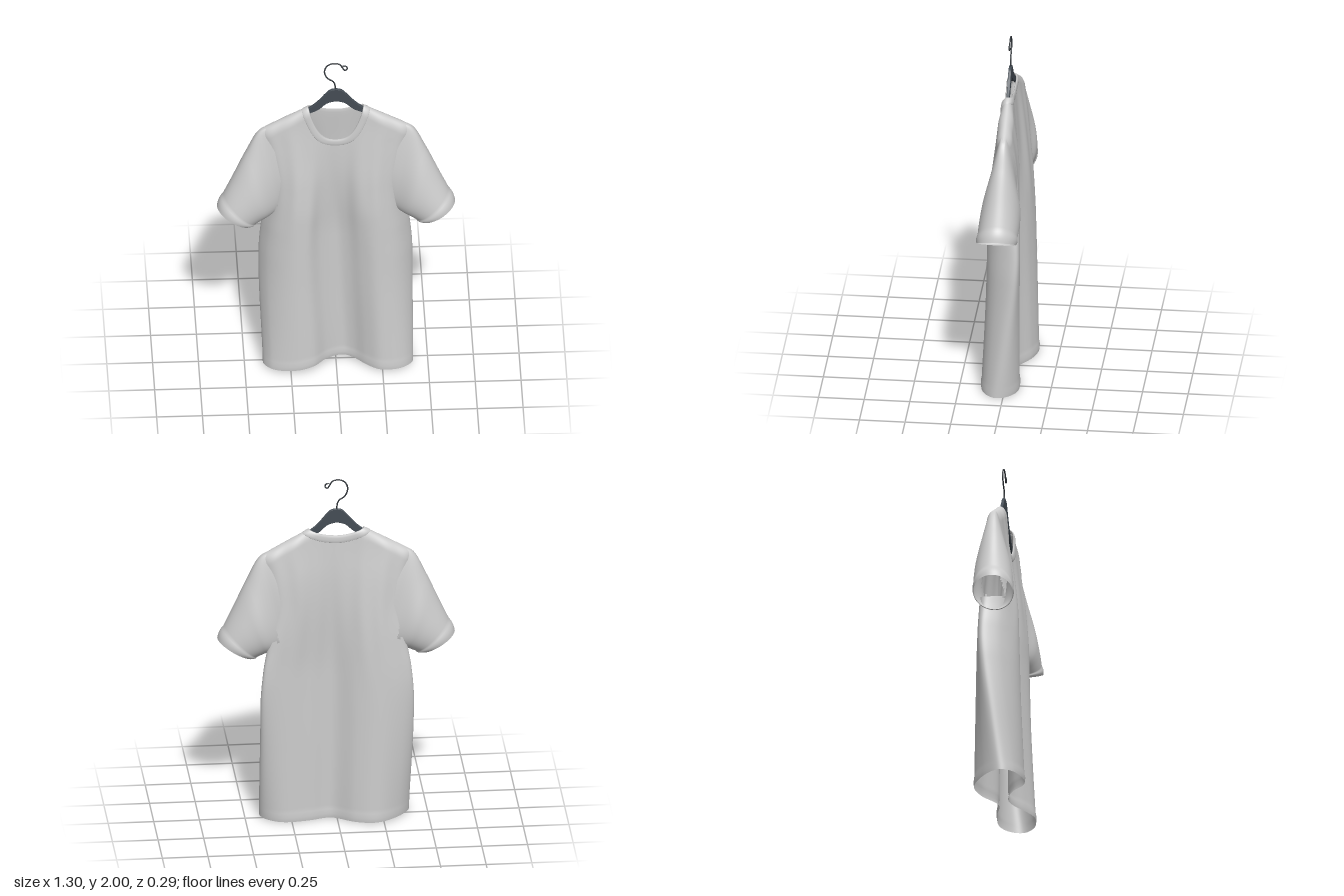
import * as THREE from 'three';
import { mergeVertices } from 'three/addons/utils/BufferGeometryUtils.js';

const { lerp, smoothstep, clamp } = THREE.MathUtils;

// Smooth 1D interpolation through [position, value] pairs
function table(p) {
  const slope = (i) => {
    const a = p[Math.max(i - 1, 0)], b = p[Math.min(i + 1, p.length - 1)];
    return (b[1] - a[1]) / (b[0] - a[0]);
  };
  return (x) => {
    x = clamp(x, p[0][0], p[p.length - 1][0]);
    let i = 0;
    while (i < p.length - 2 && x > p[i + 1][0]) i++;
    const h = p[i + 1][0] - p[i][0], t = (x - p[i][0]) / h, t2 = t * t, t3 = t2 * t;
    return p[i][1] * (2 * t3 - 3 * t2 + 1) + p[i + 1][1] * (3 * t2 - 2 * t3)
      + h * (slope(i) * (t3 - 2 * t2 + t) + slope(i + 1) * (t3 - t2));
  };
}

// Surface closed around i, open along j; cut(point) leaves faces out
function loopSurface(nu, nv, point, cut = () => false) {
  const rows = [], index = [];
  for (let j = 0; j <= nv; j++)
    for (let i = 0; i < nu; i++) rows.push(point(i / nu, j / nv, j));
  for (let j = 0; j < nv; j++)
    for (let i = 0; i < nu; i++) {
      const k = (i + 1) % nu, a = j * nu + i, b = j * nu + k, c = b + nu, d = a + nu;
      if (!cut(rows[a])) index.push(a, b, c, a, c, d);
    }
  let g = new THREE.BufferGeometry();
  g.setAttribute('position', new THREE.Float32BufferAttribute(rows.flat(), 3));
  g.setIndex(index);
  g = mergeVertices(g, 1e-5);
  g.computeVertexNormals();
  return g;
}

// Body shape: half width, depth by height, and drape folds across the width
const halfWidth = table([[0, 0.41], [0.7, 0.42], [0.9, 0.405], [1.05, 0.38], [1.25, 0.365], [1.45, 0.39], [1.57, 0.42], [1.72, 0.42]]);
const frontDepth = table([[0, 0.14], [0.5, 0.125], [1, 0.115], [1.2, 0.095], [1.4, 0.066], [1.5, 0.052], [1.6, 0.04], [1.7, 0.032]]);
const backDepth = table([[0, 0.14], [0.5, 0.122], [1, 0.102], [1.2, 0.09], [1.4, 0.07], [1.6, 0.042], [1.7, 0.03]]);
const frontFolds = table([[-1, 0.55], [-0.88, 0.78], [-0.54, 1], [-0.32, 0.86], [-0.15, 0.4], [0.07, 0.1], [0.22, 0.25], [0.37, 0.62], [0.54, 0.9], [0.73, 0.88], [0.88, 0.75], [1, 0.55]]);
const backFolds = table([[-1, 0.5], [-0.85, 0.7], [-0.53, 1], [-0.25, 0.8], [0.05, 0.27], [0.35, 0.45], [0.7, 0.62], [1, 0.55]]);
// The side seams swing back under the arms and forward at the hem
const seamSwing = table([[0, 0.035], [0.35, -0.01], [0.8, -0.06], [1.05, -0.05], [1.3, -0.015], [1.6, 0]]);

const NECK = 0.17;
const shoulderY = (x) => 1.7 - (Math.abs(x) - NECK) * 0.56;

function topY(x, front) {
  const c = Math.abs(x) / NECK;
  if (c >= 1) return shoulderY(x);
  return front ? 1.485 + 0.215 * c ** 2.8 : 1.655 + 0.045 * c * c;
}

function bodyZ(u, y, drop, front) {
  const a = Math.abs(u);
  const chest = 0.62 + 0.38 * smoothstep(a, 0.05, 0.55);
  const drape = front ? frontFolds(u + 0.1 * smoothstep(y, 0, 1.4) * (1 - u * u)) : backFolds(u);
  const folds = lerp(drape, chest, smoothstep(y, 0.85, 1.65));
  const ripple = 1 + 0.04 * Math.cos(u * 21 + (front ? 0 : 1)) * smoothstep(y, 0.7, 1.3);
  const side = Math.sqrt(Math.max(0, 1 - a ** 8));
  const ridge = Math.sqrt(1 - (1 - clamp(drop / 0.06, 0, 1)) ** 2);
  return (front ? frontDepth : backDepth)(y) * folds * ripple * side * ridge;
}

function bodyPoint(s, t) {
  const front = s < 0.5;
  const u = Math.sin((front ? 4 * s - 1 : 3 - 4 * s) * Math.PI / 2);
  const topX = u * 0.42;
  const hem = 0.012 + (front ? 0.03 * Math.exp(-(((u + 0.15) / 0.45) ** 2)) * (1 - u ** 4) : -0.008 * (1 - u ** 4)) - u * 0.004;
  const top = topY(topX, front);
  const y = lerp(hem, top, 1 - (1 - t) ** 1.7);
  const rise = (y - hem) / 0.045;
  const band = rise < 1 ? 0.005 * Math.sin(Math.PI * rise) * Math.sqrt(1 - u * u) : 0;
  const z = bodyZ(u, y, shoulderY(topX) - y, front) + band;
  return [u * halfWidth(y) + 0.01 * (1 - smoothstep(y, 0, 0.6)), y, (front ? z : -z) + seamSwing(y) * u ** 4];
}

// Armhole: the body is open where the sleeve takes over
const insideSleeve = ([x, y]) => y > 1.07 && Math.abs(x) > 0.325 + (y - 1.07) * 0.173;

// Sleeve: ring sections strung between a top edge and an underarm edge,
// starting on the body surface and swelling into the round cuff
const edge = (pts) => new THREE.CatmullRomCurve3(pts.map(([x, y]) => new THREE.Vector3(x, y, 0)));
const sleeveTop = edge([[0.36, 1.59], [0.42, 1.556], [0.49, 1.425], [0.57, 1.245], [0.65, 1.07]]);
const sleeveUnder = edge([[0.27, 1.07], [0.32, 1.025], [0.365, 0.998], [0.41, 0.975], [0.45, 0.955]]);
const sleeveDepth = table([[0, 0.05], [0.25, 0.08], [0.5, 0.1], [0.75, 0.109], [1, 0.108]]);

function sleevePoint(side) {
  return (s, t) => {
    const q = s * Math.PI * 2, c = Math.cos(q), sin = Math.sin(q) * side;
    const p = sleeveUnder.getPoint(t).lerp(sleeveTop.getPoint(t), (1 + c) / 2);
    const taper = 1 - 0.5 * (1 - t) * c;
    const cuff = t > 0.9 ? 0.005 * Math.sin(Math.PI * (t - 0.9) / 0.1) : 0;
    const u = Math.min(p.x / halfWidth(p.y), 0.8) * side;
    const depth = lerp(0.98 * bodyZ(u, p.y, 1, sin > 0), sleeveDepth(t) * taper, smoothstep(t, 0.05, 0.6));
    const round = Math.sign(sin) * Math.abs(sin) ** lerp(0.55, 1, smoothstep(t, 0, 0.8));
    const swing = seamSwing(p.y) * u ** 4 * (1 - smoothstep(t, 0, 0.7));
    return [side * (p.x + c * cuff), p.y + c * cuff * 0.5, round * (depth + cuff) + 0.021 * t * t + swing];
  };
}

// Collar band: [share from seam to rim, offset from the cloth]
const collarRows = [[0, 0], [0.06, 0.003], [0.35, 0.005], [0.65, 0.005], [0.9, 0.004], [1, 0], [0.9, -0.004], [0.5, -0.005], [0, -0.005]];

function collarPoint(s, t, j) {
  const [r, offset] = collarRows[j];
  const q = s * Math.PI * 2, c = -Math.cos(q), front = s <= 0.5, a = Math.abs(c);
  const x = c * lerp(0.187, 0.15, r);
  const y = front
    ? lerp(1.465 + 0.225 * a ** 2.8, 1.505 + 0.206 * a ** 2.8, r)
    : lerp(1.63 + 0.06 * c * c, 1.675 + 0.036 * c * c, r);
  const z = bodyZ(x / halfWidth(y), y, Math.max(0, shoulderY(x) - y), front);
  const out = z + offset * Math.min(1, Math.abs(Math.sin(q)) * 3);
  return [x, y + offset * 0.5 * a ** 6, front ? out : -out];
}

// Hanger: one outline mirrored about the middle
function hangerGeometry() {
  const upper = [[0, 1.822], [0.03, 1.815], [0.058, 1.787], [0.1, 1.738], [0.16, 1.69], [0.35, 1.575]];
  const lower = [[0.34, 1.555], [0.16, 1.66], [0.1, 1.69], [0.05, 1.733], [0, 1.748]];
  const v = (pts, m = 1) => pts.map(([x, y]) => new THREE.Vector2(x * m, y));
  const shape = new THREE.Shape();
  shape.moveTo(0, 1.822);
  shape.splineThru(v(upper).slice(1));
  shape.lineTo(0.34, 1.555);
  shape.splineThru(v(lower).slice(1));
  shape.splineThru(v(lower, -1).reverse().slice(1));
  shape.lineTo(-0.35, 1.575);
  shape.splineThru(v(upper, -1).reverse().slice(1));
  const g = new THREE.ExtrudeGeometry(shape, {
    depth: 0.01, bevelEnabled: true, bevelSize: 0.003, bevelThickness: 0.003, bevelSegments: 2, curveSegments: 8,
  });
  return g.translate(0, 0, -0.005);
}

export function createModel() {
  const group = new THREE.Group();
  const cloth = new THREE.MeshStandardMaterial({ color: 0xcccccc, side: THREE.DoubleSide });
  const dark = new THREE.MeshStandardMaterial({ color: 0x444c54 });
  const wire = new THREE.MeshStandardMaterial({ color: 0x33383d });
  const add = (name, geometry, material) => {
    const mesh = new THREE.Mesh(geometry, material);
    mesh.name = name;
    group.add(mesh);
  };

  // Shirt
  add('shirtBody', loopSurface(192, 110, bodyPoint, insideSleeve), cloth);
  add('leftSleeve', loopSurface(64, 60, sleevePoint(1)), cloth);
  add('rightSleeve', loopSurface(64, 60, sleevePoint(-1)), cloth);
  add('collar', loopSurface(128, collarRows.length - 1, collarPoint), cloth);

  // Hanger and its wire hook
  add('hangerArms', hangerGeometry(), dark);
  const hook = [[-0.004, 1.81], [-0.004, 1.845], [-0.013, 1.872], [-0.048, 1.9], [-0.062, 1.945], [-0.045, 1.982], [-0.01, 1.996],
    [0.022, 1.987], [0.036, 1.966], [0.05, 1.948], [0.062, 1.958], [0.056, 1.974], [0.04, 1.976]];
  add('hangerHook', new THREE.TubeGeometry(edge(hook), 90, 0.004, 8), wire);
  add('hookTip', new THREE.SphereGeometry(0.004, 10, 8).translate(0.04, 1.976, 0), wire);
  return group;
}
